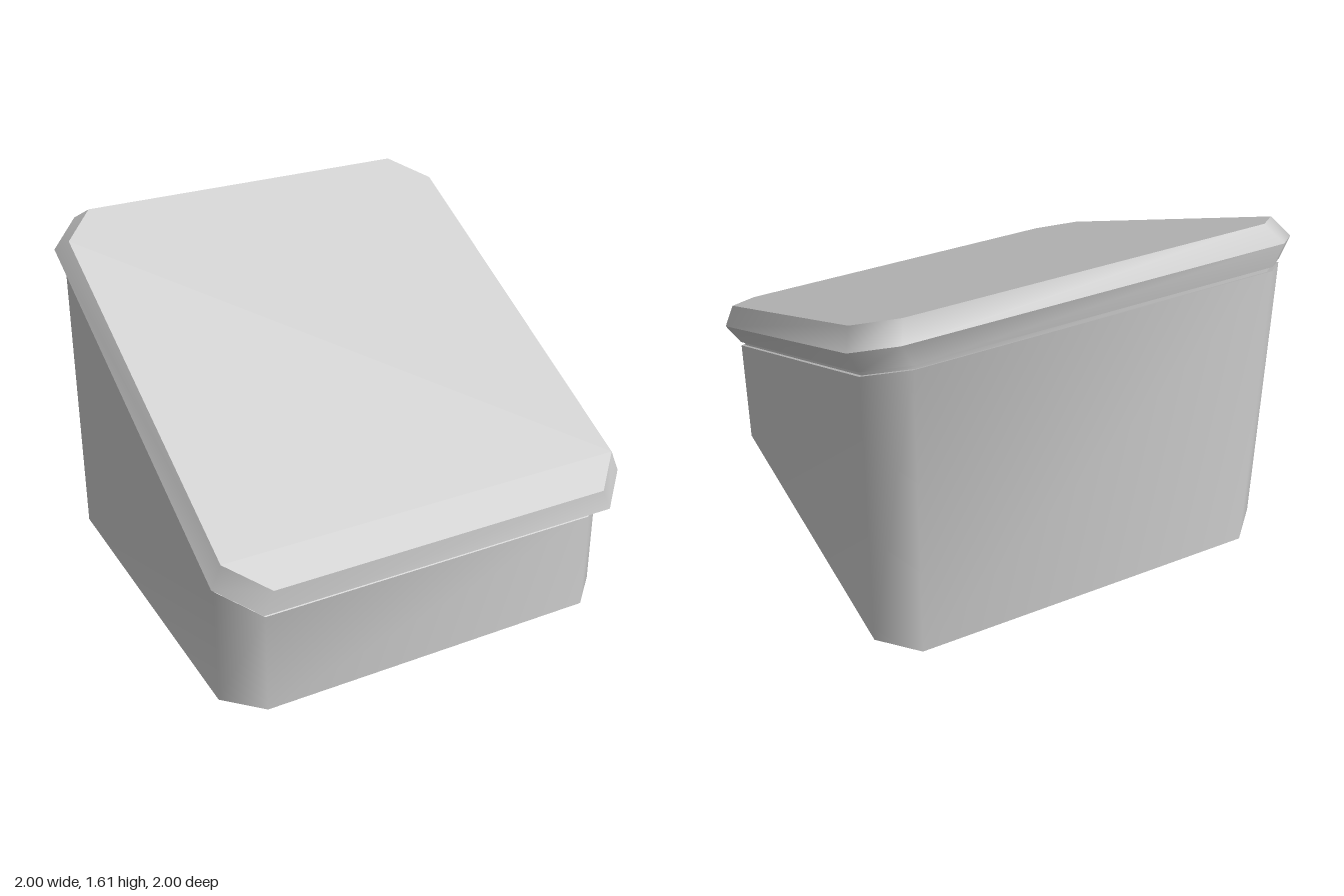
import * as THREE from 'three';
import { toCreasedNormals } from 'three/addons/utils/BufferGeometryUtils.js';

const material = new THREE.MeshStandardMaterial({ color: 0xcccccc });

// Rectangle with cut corners; y is its height at the front edge, slope its rise to the back
function ring(halfWidth, front, back, y, slope = 0.5, cut = 0.155) {
  const w = halfWidth, c = cut;
  const corners = [
    [w, front - c], [w, back + c], [w - c, back], [c - w, back],
    [-w, back + c], [-w, front - c], [c - w, front], [w - c, front],
  ];
  return corners.map(([x, z]) => [x, y + slope * (front - z), z]);
}

// Skins a stack of rings from bottom to top and caps both ends
function loft(name, rings) {
  const n = rings[0].length;
  const index = [];
  for (let r = 0; r < rings.length - 1; r++) {
    for (let i = 0; i < n; i++) {
      const a = r * n + i, b = r * n + (i + 1) % n;
      index.push(a, b, b + n, a, b + n, a + n);
    }
  }
  const top = (rings.length - 1) * n;
  for (let i = 1; i < n - 1; i++) {
    index.push(0, i + 1, i);
    index.push(top, top + i, top + i + 1);
  }
  const geometry = new THREE.BufferGeometry();
  geometry.setAttribute('position', new THREE.Float32BufferAttribute(rings.flat(2), 3));
  geometry.setIndex(index);
  const mesh = new THREE.Mesh(toCreasedNormals(geometry, 0.9), material);
  mesh.name = name;
  return mesh;
}

export function createModel() {
  const model = new THREE.Group();
  model.name = 'slopedConsole';

  // Wedge-shaped base with a sloping top
  model.add(loft('base', [
    ring(0.955, 0.915, -1, 0, 0),
    ring(0.955, 0.915, -1, 0.47),
  ]));

  // Thin recessed seam between base and lid
  model.add(loft('seam', [
    ring(0.94, 0.9, -0.985, 0.465),
    ring(0.94, 0.9, -0.985, 0.51),
  ]));

  // Slanted lid, bevelled above and below its widest line
  model.add(loft('lid', [
    ring(0.955, 0.92, -1, 0.487),
    ring(1, 1, -1, 0.545),
    ring(0.955, 1, -0.915, 0.65, 0.4987),
  ]));

  return model;
}
